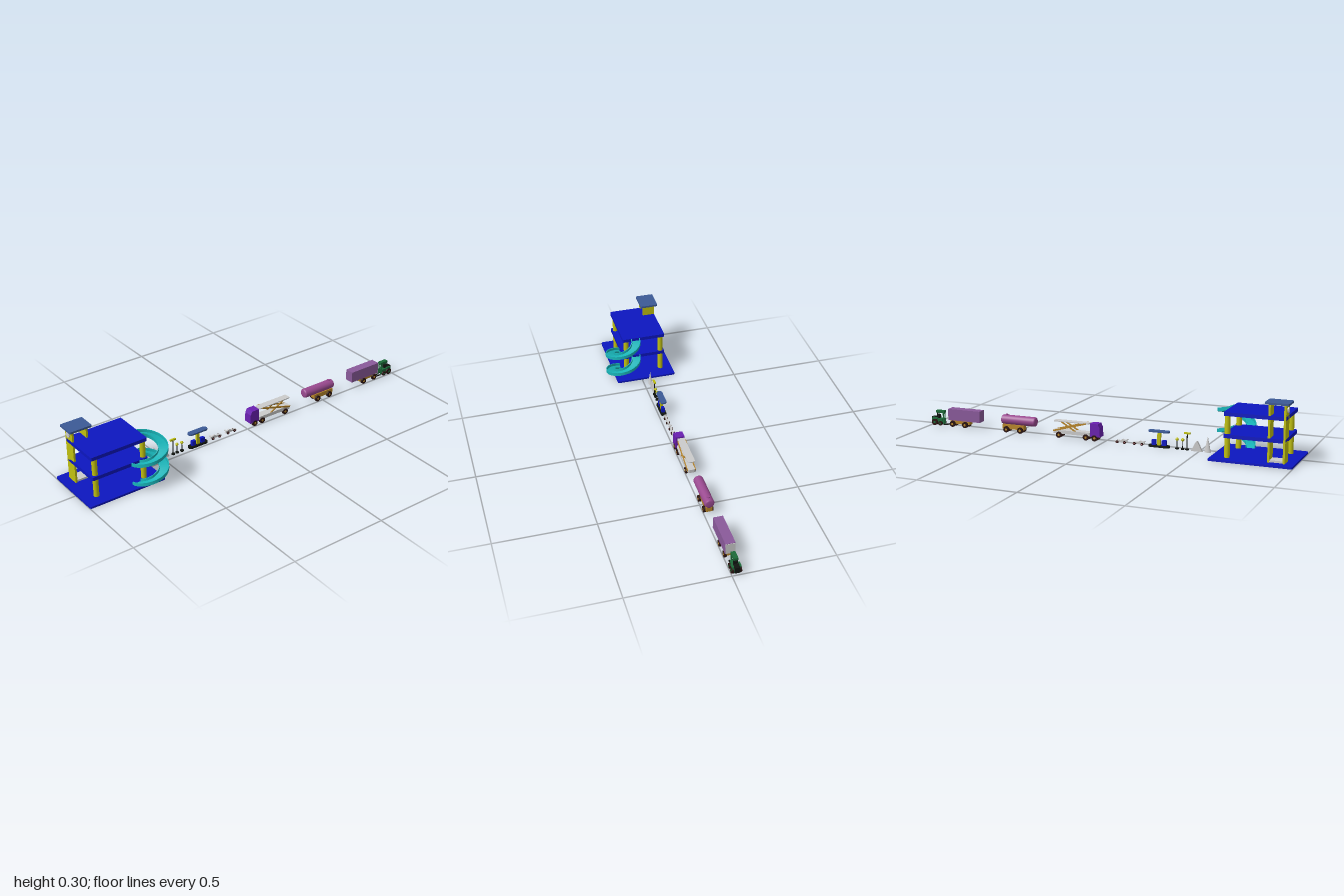
import * as THREE from 'three';
import { toCreasedNormals } from 'three/addons/utils/BufferGeometryUtils.js';

const ZC = -0.025; // centre line of the row of vehicles
const mats = {};
function mat(color) {
  return (mats[color] ??= new THREE.MeshStandardMaterial({ color, side: THREE.DoubleSide }));
}
const BLUE = 0x0c16c0, YELLOW = 0xc0c010, TEAL = 0x18b4b8, SLATE = 0x3c5a96, GREY = 0xcccccc,
  MAUVE = 0x8a5a9a, PLUM = 0x9a4a90, PURPLE = 0x6a20b0, OCHRE = 0xb8862a, GREEN = 0x1c6a38, BLACK = 0x101410, TYRE = 0x2a120e;

function add(parent, name, geo, color, x = 0, y = 0, z = 0) {
  const m = new THREE.Mesh(geo, mat(color));
  m.name = name;
  m.position.set(x, y, z);
  parent.add(m);
  return m;
}
// box given by its extents
function box(parent, name, color, x0, x1, y0, y1, z0, z1) {
  return add(parent, name, new THREE.BoxGeometry(x1 - x0, y1 - y0, z1 - z0), color, (x0 + x1) / 2, (y0 + y1) / 2, (z0 + z1) / 2);
}
function post(parent, name, color, x, z, r, y0, y1, rTop = r) {
  return add(parent, name, new THREE.CylinderGeometry(rTop, r, y1 - y0, 20), color, x, (y0 + y1) / 2, z);
}
// flat slab with rounded corners seen from above
function slab(parent, name, color, x0, x1, y0, y1, z0, z1, r) {
  const s = new THREE.Shape(), a = (x1 - x0) / 2, b = (z1 - z0) / 2;
  [[a - r, b - r, 0], [r - a, b - r, 1], [r - a, r - b, 2], [a - r, r - b, 3]].forEach(([x, y, k]) =>
    s.absarc(x, y, r, k * Math.PI / 2, (k + 1) * Math.PI / 2, false));
  const g = new THREE.ExtrudeGeometry(s, { depth: y1 - y0, bevelEnabled: false, curveSegments: 8 });
  g.rotateX(-Math.PI / 2);
  return add(parent, name, g, color, (x0 + x1) / 2, y0, (z0 + z1) / 2);
}
// wheel pairs on one axle, half = distance from centre line to the outer face
function axle(parent, x, r, half, w, hub = OCHRE, z = ZC) {
  for (const s of [-1, 1]) {
    add(parent, 'wheel', new THREE.CylinderGeometry(r, r, w, 20).rotateX(Math.PI / 2), TYRE, x, r, z + s * (half - w / 2));
    add(parent, 'hub', new THREE.CylinderGeometry(r * 0.4, r * 0.4, w, 12).rotateX(Math.PI / 2), hub, x, r, z + s * (half - w / 2 + 0.001));
  }
}
// bar in the x-y plane
function bar(parent, name, color, x0, y0, x1, y1, t, z, w) {
  const m = add(parent, name, new THREE.BoxGeometry(Math.hypot(x1 - x0, y1 - y0), t, w), color, (x0 + x1) / 2, (y0 + y1) / 2, z);
  m.rotation.z = Math.atan2(y1 - y0, x1 - x0);
}
function group(parent, name) {
  const g = new THREE.Group();
  g.name = name;
  parent.add(g);
  return g;
}

// three quarter turn trough, swept upward from the left side to the deck edge
function rampGeometry(y0, rise) {
  const prof = [[0.047, 0], [0.095, 0], [0.095, 0.018], [0.091, 0.018], [0.091, 0.004], [0.051, 0.004], [0.051, 0.018], [0.047, 0.018]];
  const n = 48, k = prof.length, pos = [], idx = [];
  for (let i = 0; i <= n; i++) {
    const a = Math.PI - (i / n) * Math.PI * 1.5;
    for (const [r, y] of prof) pos.push(r * Math.cos(a), y0 + rise * i / n + y, r * Math.sin(a));
  }
  for (let i = 0; i < n; i++) for (let j = 0; j < k; j++) {
    const a = i * k + j, b = i * k + (j + 1) % k;
    idx.push(a, a + k, b, b, a + k, b + k);
  }
  const caps = THREE.ShapeUtils.triangulateShape(prof.map(p => new THREE.Vector2(...p)), []);
  for (const [a, b, c] of caps) idx.push(a, b, c, n * k + c, n * k + b, n * k + a);
  const g = new THREE.BufferGeometry();
  g.setAttribute('position', new THREE.Float32BufferAttribute(pos, 3));
  g.setIndex(idx);
  return toCreasedNormals(g, 0.6);
}

function garage(root) {
  const g = group(root, 'garage');
  slab(g, 'base', BLUE, -1, -0.59, 0, 0.01, -0.185, 0.136, 0.01);
  for (const y of [0.108, 0.215]) slab(g, 'deck', BLUE, -0.953, -0.653, y, y + 0.018, -0.143, 0.088, 0.006);
  for (const [x, z] of [[-0.928, 0.068], [-0.668, 0.068], [-0.668, -0.123]]) post(g, 'post', YELLOW, x, z, 0.0135, 0.01, 0.215);
  for (const y of [0.006, 0.11]) add(g, 'spiralRamp', rampGeometry(y, 0.105), TEAL, -0.65, 0, 0.09);
  // lift tower, open front and back
  box(g, 'liftWall', YELLOW, -0.953, -0.943, 0.01, 0.29, -0.143, -0.08);
  box(g, 'liftWall', YELLOW, -0.879, -0.869, 0.01, 0.29, -0.143, -0.08);
  slab(g, 'liftRoof', SLATE, -0.97, -0.853, 0.29, 0.3, -0.159, -0.065, 0.006);
  box(g, 'liftPlatform', GREY, -0.943, -0.879, 0.012, 0.022, -0.14, -0.082);
  add(g, 'crank', new THREE.CylinderGeometry(0.014, 0.014, 0.006, 20).rotateZ(Math.PI / 2), GREY, -0.956, 0.262, -0.112);
}

function streetProps(root) {
  const g = group(root, 'streetProps');
  // tall and wide marker peaks
  add(g, 'tallPeak', new THREE.ConeGeometry(0.017, 0.08, 20).scale(1, 1, 0.6), GREY, -0.543, 0.04, -0.033);
  const tent = new THREE.Shape([[-0.029, 0], [0.029, 0], [0.003, 0.05], [-0.003, 0.05]].map(p => new THREE.Vector2(...p)));
  add(g, 'widePeak', new THREE.ExtrudeGeometry(tent, { depth: 0.014, bevelEnabled: false }), GREY, -0.488, 0, -0.04);
  // overhead sign and two round signs
  const z = -0.028;
  post(g, 'signBase', BLACK, -0.436, z, 0.009, 0, 0.006);
  post(g, 'signPole', BLACK, -0.436, z, 0.0025, 0.006, 0.08);
  box(g, 'signHead', YELLOW, -0.452, -0.42, 0.08, 0.088, z - 0.005, z + 0.005);
  for (const x of [-0.413, -0.384]) {
    post(g, 'signBase', BLACK, x, z, 0.009, 0, 0.006);
    post(g, 'signPole', BLACK, x, z, 0.002, 0.006, 0.045);
    add(g, 'roundSign', new THREE.SphereGeometry(0.008, 16, 12), YELLOW, x, 0.049, z);
  }
}

function fuelStation(root) {
  const g = group(root, 'fuelStation');
  slab(g, 'island', BLACK, -0.345, -0.235, 0, 0.01, -0.042, -0.012, 0.014);
  slab(g, 'canopy', SLATE, -0.345, -0.235, 0.076, 0.084, -0.043, -0.011, 0.014);
  box(g, 'pillar', YELLOW, -0.298, -0.282, 0.01, 0.076, -0.034, -0.02);
  for (const x of [-0.317, -0.263]) box(g, 'pump', BLUE, x - 0.011, x + 0.011, 0.01, 0.036, -0.035, -0.019);
}

function raceCar(root, x) {
  const g = group(root, 'raceCar');
  const z = -0.027;
  const side = new THREE.Shape([[-0.033, 0.006], [0.033, 0.006], [0.033, 0.012], [0.012, 0.016], [0.002, 0.015], [-0.008, 0.023], [-0.03, 0.017]]
    .map(p => new THREE.Vector2(...p)));
  add(g, 'body', new THREE.ExtrudeGeometry(side, { depth: 0.009, bevelEnabled: false }), GREY, x, 0, z - 0.0045);
  box(g, 'rearWing', GREY, x - 0.034, x - 0.027, 0.018, 0.022, z - 0.009, z + 0.009);
  box(g, 'frontWing', GREY, x + 0.028, x + 0.035, 0.005, 0.008, z - 0.009, z + 0.009);
  for (const dx of [-0.02, 0.02]) axle(g, x + dx, 0.007, 0.01, 0.005, 0xd08090, z);
}

function carTransporter(root) {
  const g = group(root, 'carTransporter');
  const cab = new THREE.Shape([[0.02, 0.022], [0.075, 0.022], [0.075, 0.09], [0.032, 0.09], [0.022, 0.07]].map(p => new THREE.Vector2(...p)));
  add(g, 'cab', new THREE.ExtrudeGeometry(cab, { depth: 0.046, bevelEnabled: false }), PURPLE, 0, 0, ZC - 0.023);
  slab(g, 'lowerDeck', GREY, 0.075, 0.282, 0.022, 0.04, ZC - 0.02, ZC + 0.02, 0.01);
  slab(g, 'upperDeck', GREY, 0.082, 0.28, 0.083, 0.088, ZC - 0.019, ZC + 0.019, 0.008);
  for (const s of [-1, 1]) {
    bar(g, 'liftArm', OCHRE, 0.1, 0.085, 0.28, 0.035, 0.008, ZC + s * 0.02, 0.004);
    bar(g, 'liftArm', OCHRE, 0.155, 0.038, 0.235, 0.084, 0.007, ZC + s * 0.017, 0.004);
  }
  for (const x of [0.05, 0.098, 0.248]) axle(g, x, 0.016, 0.024, 0.012);
}

function trailerBogie(g, x0, x1, wheels) {
  box(g, 'chassis', OCHRE, x0, x1, 0.017, 0.041, ZC - 0.015, ZC + 0.015);
  for (const x of wheels) axle(g, x, 0.016, 0.024, 0.011);
}

function tankTrailer(root) {
  const g = group(root, 'tankTrailer');
  const half = 0.098, r = 0.0245, e = 0.008;
  const pts = [[0, -half], [r - e, -half], [r - 0.002, -half + 0.003], [r, -half + e], [r, half - e], [r - 0.002, half - 0.003], [r - e, half], [0, half]];
  const tank = new THREE.LatheGeometry(pts.map(p => new THREE.Vector2(...p)), 32).rotateZ(-Math.PI / 2);
  add(g, 'tank', tank, PLUM, 0.483, 0.065, ZC);
  post(g, 'hatch', PLUM, 0.555, ZC, 0.008, 0.085, 0.093);
  trailerBogie(g, 0.452, 0.575, [0.47, 0.55]);
}

function boxTrailer(root) {
  const g = group(root, 'boxTrailer');
  box(g, 'cargoBox', MAUVE, 0.705, 0.893, 0.036, 0.096, ZC - 0.024, ZC + 0.024);
  box(g, 'rearDoor', GREY, 0.893, 0.895, 0.038, 0.094, ZC - 0.023, ZC + 0.023);
  trailerBogie(g, 0.77, 0.885, [0.795, 0.87]);
}

function forklift(root) {
  const g = group(root, 'forklift');
  box(g, 'body', GREEN, 0.935, 0.998, 0.014, 0.036, ZC - 0.015, ZC + 0.015);
  box(g, 'counterweight', BLACK, 0.972, 1, 0.012, 0.044, ZC - 0.013, ZC + 0.013);
  box(g, 'seat', BLACK, 0.958, 0.972, 0.036, 0.055, ZC - 0.009, ZC + 0.009);
  box(g, 'roof', GREEN, 0.927, 0.975, 0.066, 0.079, ZC - 0.011, ZC + 0.011);
  for (const s of [-1, 1]) {
    box(g, 'mast', GREEN, 0.929, 0.935, 0.006, 0.07, ZC + s * 0.008 - 0.002, ZC + s * 0.008 + 0.002);
    box(g, 'roofPost', BLACK, 0.966, 0.97, 0.036, 0.067, ZC + s * 0.008 - 0.002, ZC + s * 0.008 + 0.002);
    box(g, 'fork', BLACK, 0.903, 0.93, 0.003, 0.007, ZC + s * 0.008 - 0.003, ZC + s * 0.008 + 0.003);
    box(g, 'fender', GREEN, 0.962, 0.99, 0.034, 0.043, ZC + s * 0.017 - 0.005, ZC + s * 0.017 + 0.005);
  }
  axle(g, 0.945, 0.012, 0.023, 0.009, GREEN);
  axle(g, 0.978, 0.017, 0.024, 0.01, GREEN);
}

export function createModel() {
  const root = new THREE.Group();
  root.name = 'garagePlayset';
  garage(root);
  streetProps(root);
  fuelStation(root);
  for (const x of [-0.181, -0.088]) raceCar(root, x);
  carTransporter(root);
  tankTrailer(root);
  boxTrailer(root);
  forklift(root);
  return root;
}
